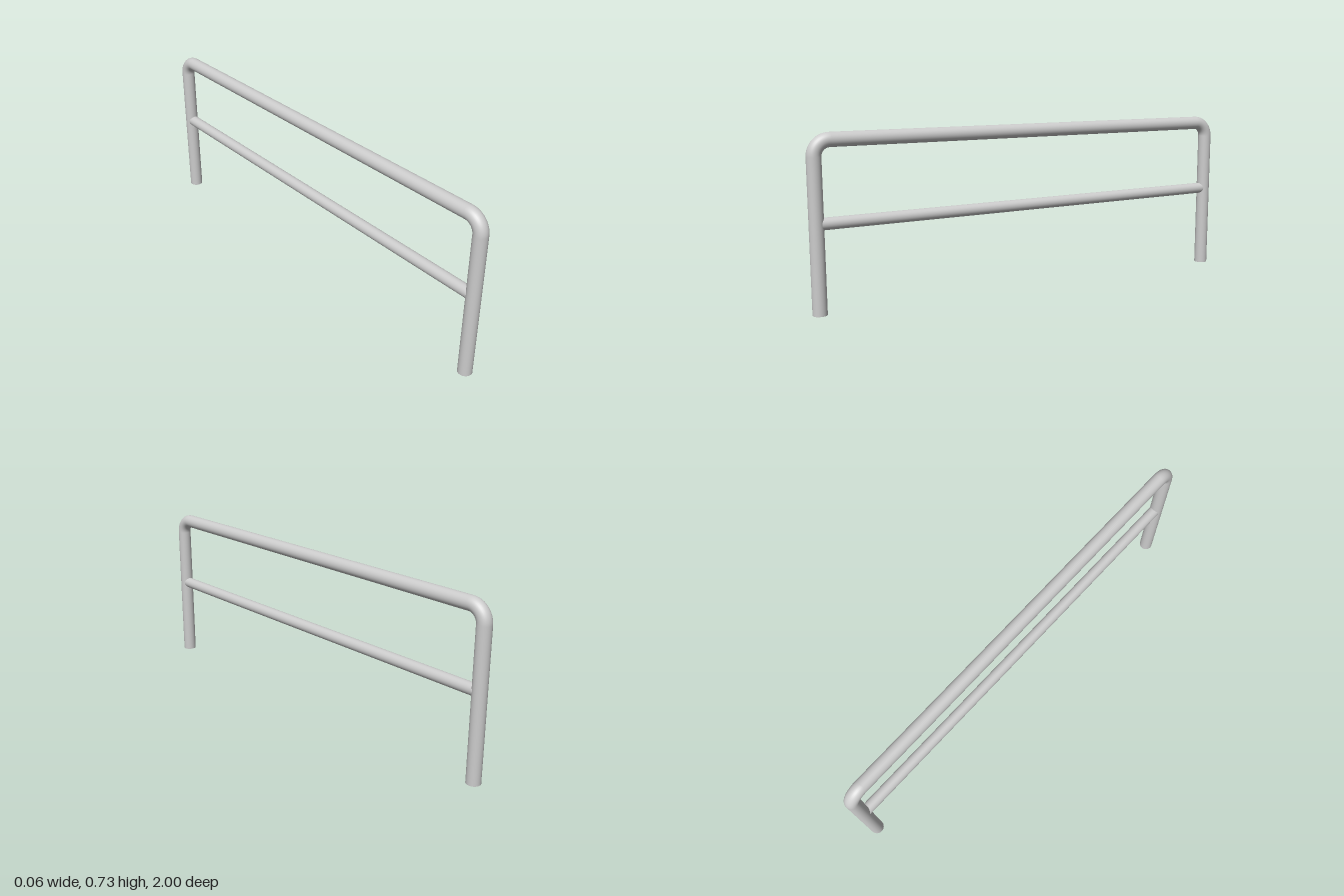
import * as THREE from 'three';

const R = 0.03;        // main pipe radius
const Z = 0.97;        // leg centre line
const TOP = 0.70;      // top rail centre line
const BEND = 0.065;    // bend radius at the centre line

export function createModel() {
  const group = new THREE.Group();
  group.name = 'railing';
  const material = new THREE.MeshStandardMaterial({ color: 0xcccccc });

  const add = (name, geometry) => {
    const mesh = new THREE.Mesh(geometry, material);
    mesh.name = name;
    group.add(mesh);
    return mesh;
  };

  // straight pipe between two points
  const pipe = (name, from, to, radius, open) => {
    const dir = to.clone().sub(from);
    const mesh = add(name, new THREE.CylinderGeometry(radius, radius, dir.length(), 32, 1, open));
    mesh.position.copy(from).add(to).multiplyScalar(0.5);
    mesh.quaternion.setFromUnitVectors(new THREE.Vector3(0, 1, 0), dir.normalize());
  };
  const at = (y, z) => new THREE.Vector3(0, y, z);

  // legs and rounded corners, front and back
  for (const [label, side] of [['front', 1], ['back', -1]]) {
    pipe(label + 'Leg', at(0, side * Z), at(TOP - BEND, side * Z), R, false);
    const bend = add(label + 'Bend', new THREE.TorusGeometry(BEND, R, 32, 12, Math.PI / 2));
    bend.rotation.y = -side * Math.PI / 2;
    bend.position.set(0, TOP - BEND, side * (Z - BEND));
  }

  // top rail between the bends
  pipe('topRail', at(TOP, Z - BEND), at(TOP, BEND - Z), R, true);

  // thinner middle rail, rising very slightly towards the back
  pipe('middleRail', at(0.368, 0.955), at(0.376, -0.955), 0.025, false);

  return group;
}
